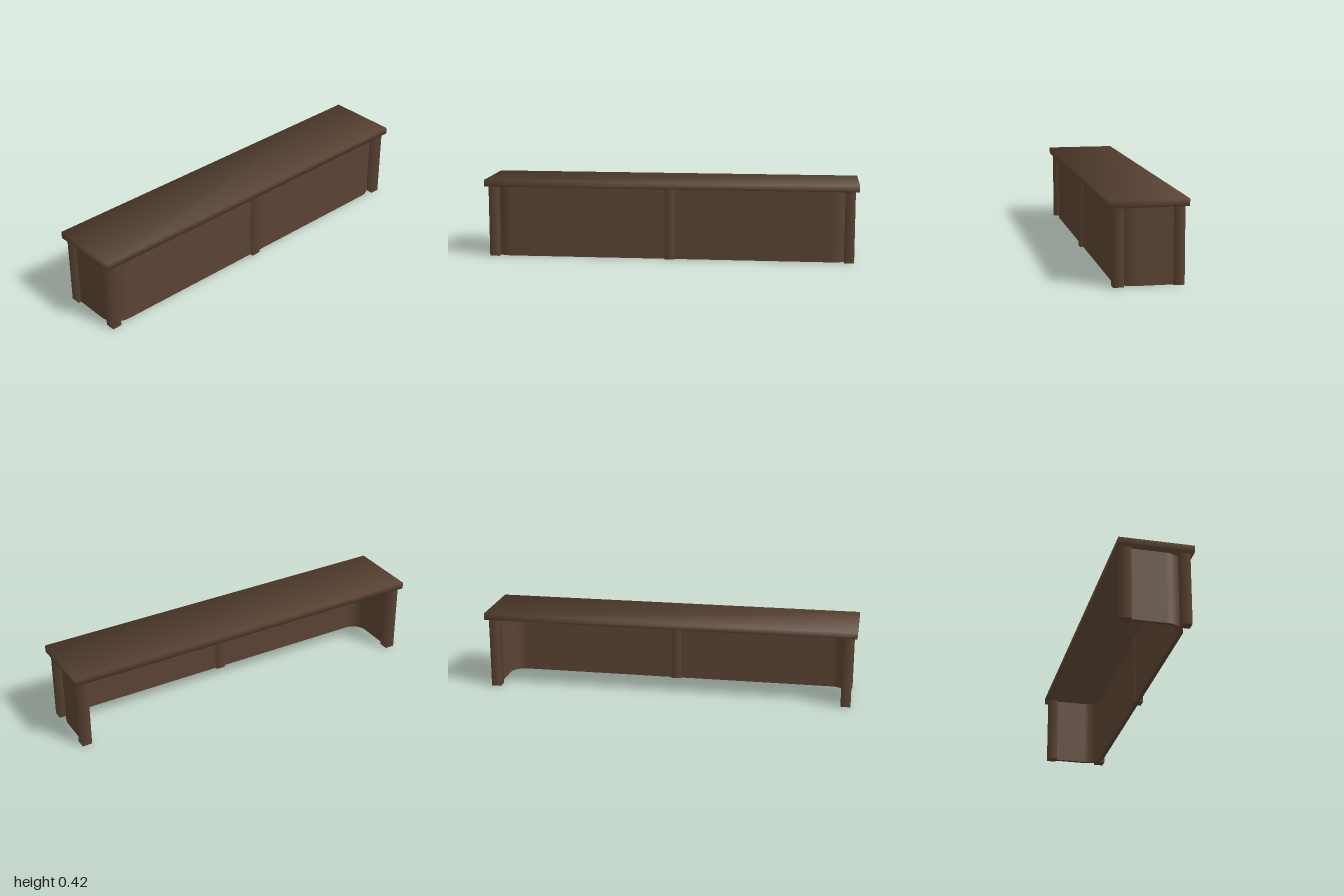
import * as THREE from 'three';

const wood = new THREE.MeshStandardMaterial({ color: 0x5a4333 });
wood.name = 'dark brown wood';

const HEIGHT = 0.382; // underside of the top slab
const POST = 0.052; // post side length

// Four-sided post with softly shaded sides
function post(name, x, z) {
  const r = POST / Math.SQRT2;
  const geo = new THREE.CylinderGeometry(r, r, HEIGHT, 4);
  geo.rotateY(Math.PI / 4);
  const mesh = new THREE.Mesh(geo, wood);
  mesh.name = name;
  mesh.position.set(x, HEIGHT / 2, z);
  return mesh;
}

// Thin U-shaped wall: front and two sides with rounded corners, open at the back
function wall() {
  const x = 0.964, front = 0.155, back = -0.147, t = 0.02, r = 0.1;
  const s = new THREE.Shape();
  s.moveTo(x, back);
  s.lineTo(x, front - r);
  s.absarc(x - r, front - r, r, 0, Math.PI / 2, false);
  s.lineTo(-x + r, front);
  s.absarc(-x + r, front - r, r, Math.PI / 2, Math.PI, false);
  s.lineTo(-x, back);
  s.lineTo(-x + t, back);
  s.lineTo(-x + t, front - r);
  s.absarc(-x + r, front - r, r - t, Math.PI, Math.PI / 2, true);
  s.lineTo(x - r, front - t);
  s.absarc(x - r, front - r, r - t, Math.PI / 2, 0, true);
  s.lineTo(x - t, back);
  s.closePath();
  const geo = new THREE.ExtrudeGeometry(s, { depth: HEIGHT, bevelEnabled: false, curveSegments: 8 });
  geo.rotateX(Math.PI / 2); // shape y becomes z, depth runs down
  geo.translate(0, HEIGHT, 0);
  const mesh = new THREE.Mesh(geo, wood);
  mesh.name = 'wallPanel';
  return mesh;
}

// Counter slab, with shading blended softly around its edges
function slab() {
  const geo = new THREE.BoxGeometry(2, 0.036, 0.381);
  const p = geo.attributes.position, n = geo.attributes.normal;
  const v = new THREE.Vector3();
  for (let i = 0; i < p.count; i++) {
    v.set(Math.sign(p.getX(i)), Math.sign(p.getY(i)), Math.sign(p.getZ(i))).normalize();
    n.setXYZ(i, v.x, v.y, v.z);
  }
  const mesh = new THREE.Mesh(geo, wood);
  mesh.name = 'counterTop';
  mesh.position.y = HEIGHT + 0.018;
  return mesh;
}

export function createModel() {
  const group = new THREE.Group();
  group.name = 'counter';
  group.add(slab(), wall());
  for (const [side, sx] of [['left', 1], ['right', -1]]) {
    group.add(post(side + 'FrontPost', sx * 0.954, 0.147));
    group.add(post(side + 'BackPost', sx * 0.954, -0.147));
  }
  group.add(post('middleFrontPost', 0, 0.147));
  return group;
}
